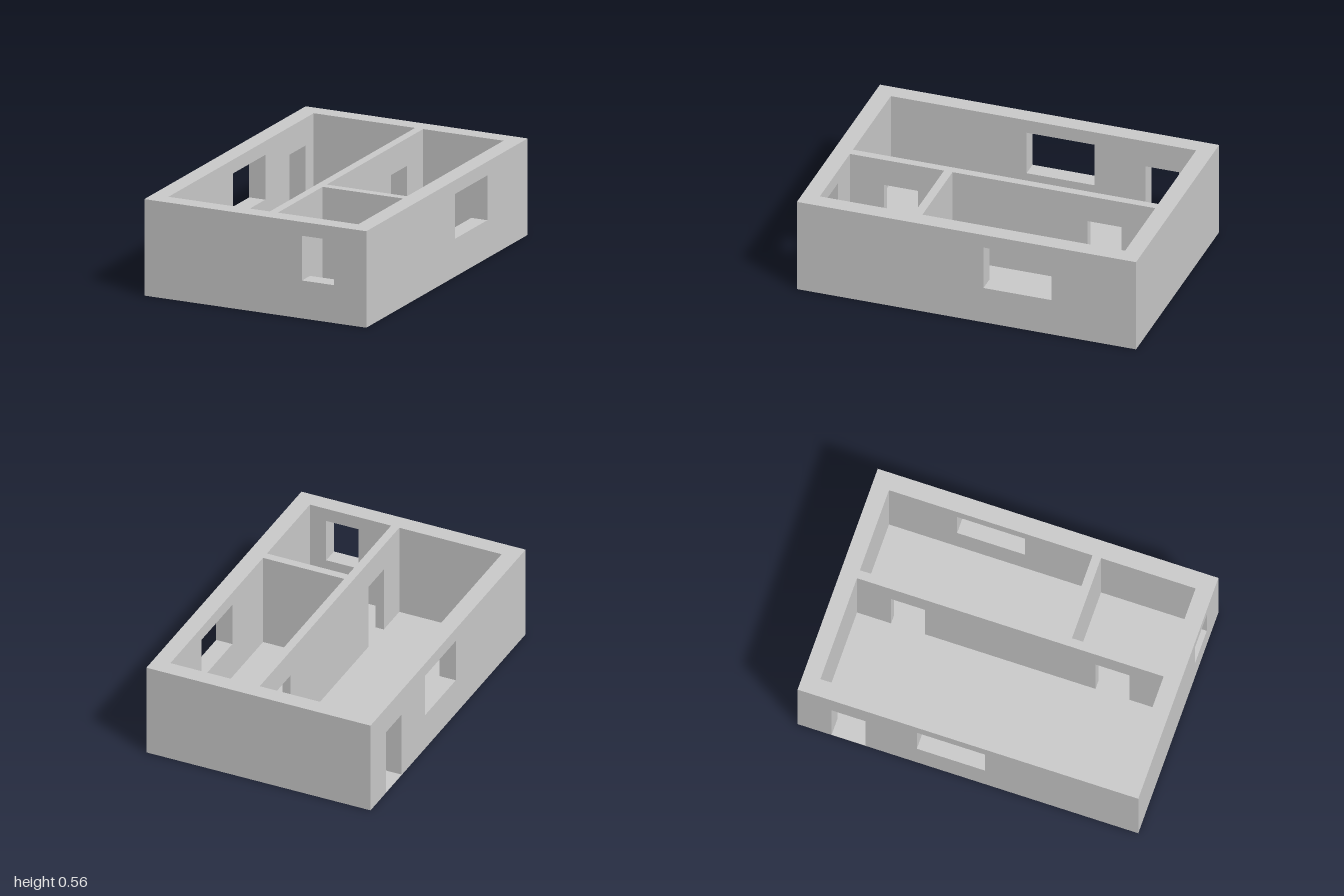
import * as THREE from 'three';

const HALF_X = 0.69, HALF_Z = 1, HEIGHT = 0.56, FLOOR = 0.004;
const OUTER = 0.1, INNER = 0.05;
const SILL = 0.22, LINTEL = 0.48, DOOR_TOP = 0.4;

const material = new THREE.MeshStandardMaterial({ color: 0xcccccc, flatShading: true });

// Upright wall from u0 to u1 along its length; doors notch the foot, windows are holes.
function wallGeometry(u0, u1, thickness, doors = [], windows = []) {
  const shape = new THREE.Shape();
  shape.moveTo(u0, FLOOR);
  for (const [a, b] of doors) {
    shape.lineTo(a, FLOOR);
    shape.lineTo(a, DOOR_TOP);
    shape.lineTo(b, DOOR_TOP);
    shape.lineTo(b, FLOOR);
  }
  shape.lineTo(u1, FLOOR);
  shape.lineTo(u1, HEIGHT);
  shape.lineTo(u0, HEIGHT);
  shape.closePath();
  for (const [a, b] of windows) {
    const hole = new THREE.Path();
    hole.moveTo(a, SILL);
    hole.lineTo(a, LINTEL);
    hole.lineTo(b, LINTEL);
    hole.lineTo(b, SILL);
    hole.closePath();
    shape.holes.push(hole);
  }
  return new THREE.ExtrudeGeometry(shape, { depth: thickness, bevelEnabled: false });
}

export function createModel() {
  const group = new THREE.Group();
  group.name = 'roomPlan';

  const add = (name, geometry) => {
    const mesh = new THREE.Mesh(geometry, material);
    mesh.name = name;
    group.add(mesh);
    return mesh;
  };
  // Wall running along x, its back face at z
  const wallX = (name, x0, x1, z, thickness, doors, windows) => {
    add(name, wallGeometry(x0, x1, thickness, doors, windows)).position.z = z;
  };
  // Wall running along z, its face towards +x at x
  const wallZ = (name, z0, z1, x, thickness, doors, windows) => {
    const mesh = add(name, wallGeometry(z0, z1, thickness, doors, windows));
    mesh.rotation.y = -Math.PI / 2;
    mesh.position.x = x;
  };

  // Thin floor slab
  add('floor', new THREE.BoxGeometry(2 * HALF_X, FLOOR, 2 * HALF_Z)).position.y = FLOOR / 2;

  // Outer walls
  const inX = HALF_X - OUTER;
  wallZ('leftWall', -HALF_Z, HALF_Z, HALF_X, OUTER, [], [[-0.5, -0.1]]);
  wallZ('rightWall', -HALF_Z, HALF_Z, -inX, OUTER, [[-0.8, -0.6]], [[-0.3, 0.1]]);
  wallX('frontWall', -inX, inX, HALF_Z - OUTER, OUTER, [], [[0.29, 0.49]]);
  wallX('backWall', -inX, inX, -HALF_Z, OUTER);

  // Partitions: a long one with two doorways, and a short one between the small rooms
  const inZ = HALF_Z - OUTER;
  wallZ('longPartition', -inZ, inZ, 0.09, INNER, [[-0.7, -0.5], [0.5, 0.7]]);
  wallX('shortPartition', 0.09, inX, 0.295, INNER);

  return group;
}
